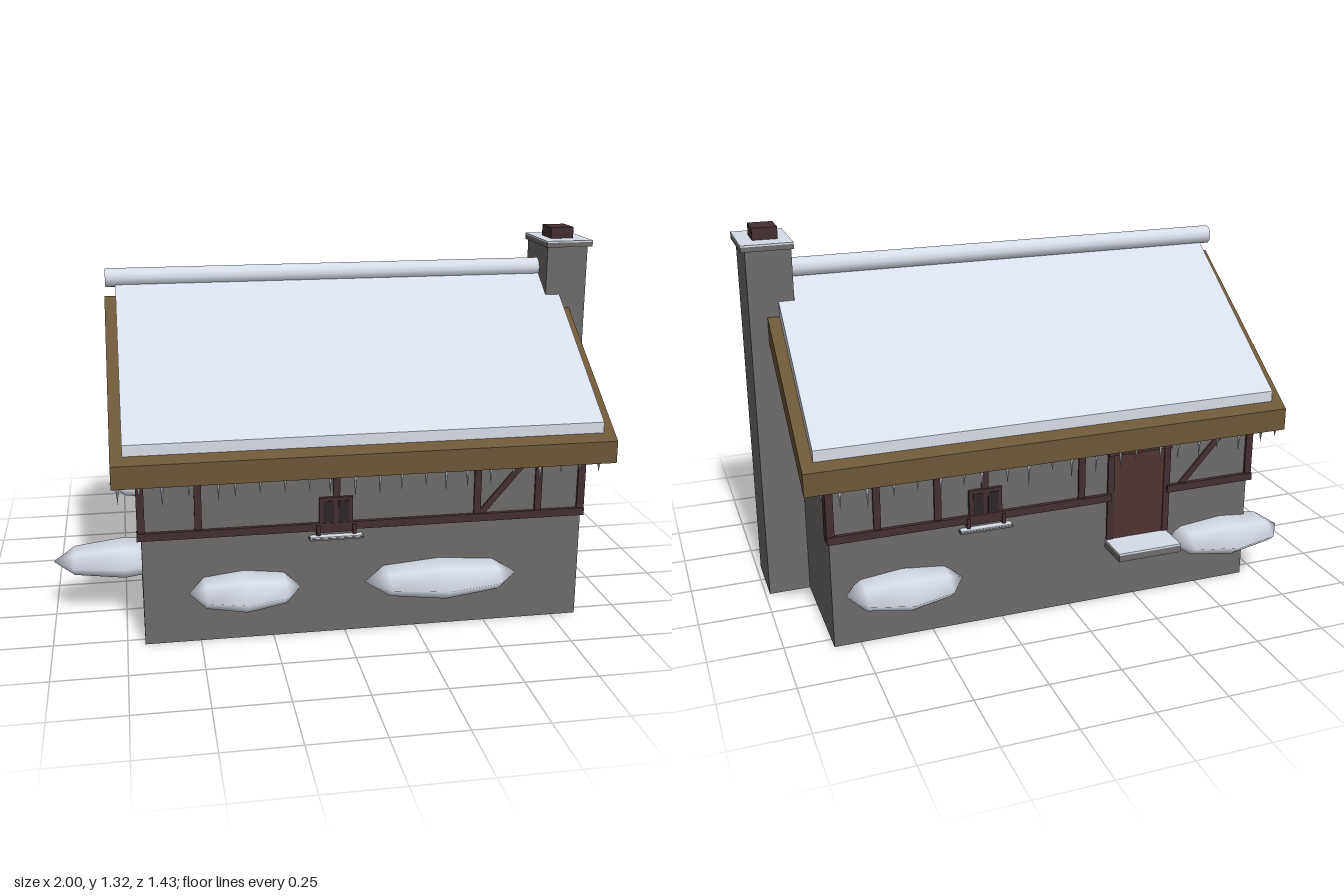
import * as THREE from 'three';

const mat = (name, color, side = THREE.FrontSide) => {
  const m = new THREE.MeshStandardMaterial({ color, side });
  m.name = name;
  return m;
};

export function createModel() {
  const group = new THREE.Group();
  const stone = mat('stone', 0x6d6b6a);
  const snow = mat('snow', 0xd6dce7);
  const roofWood = mat('roofWood', 0x6b5737);
  const timber = mat('timber', 0x432f30);
  const doorWood = mat('doorWood', 0x4f3331);
  const glass = mat('glass', 0x2d2628);
  const floorWood = mat('floorWood', 0x2b2120);
  const ice = mat('ice', 0xb4bcc6);
  const Z0 = -0.006; // centre line of the house

  const add = (name, geo, material, x = 0, y = 0, z = 0, parent = group) => {
    const m = new THREE.Mesh(geo, material);
    m.name = name;
    m.position.set(x, y, z);
    parent.add(m);
    return m;
  };
  // Box from its limits on each axis
  const box = (name, material, x0, x1, y0, y1, z0, z1, parent) =>
    add(name, new THREE.BoxGeometry(x1 - x0, y1 - y0, z1 - z0), material,
      (x0 + x1) / 2, (y0 + y1) / 2, (z0 + z1) / 2, parent);
  // Profile in (z, y) swept along x from x0 to x1
  const sweep = (name, material, pts, x0, x1) => {
    const shape = new THREE.Shape(pts.map(([z, y]) => new THREE.Vector2(-z, y)));
    const geo = new THREE.ExtrudeGeometry(shape, { depth: x1 - x0, bevelEnabled: false });
    geo.rotateY(Math.PI / 2);
    return add(name, geo, material, x0, 0, Z0);
  };

  // Hollow footing, floor and gabled walls
  const X0 = -0.69, X1 = 0.84, W = 0.545, T = 0.1;
  box('footingFront', stone, X0, X1, 0, 0.2, Z0 + W - T, Z0 + W);
  box('footingBack', stone, X0, X1, 0, 0.2, Z0 - W, Z0 - W + T);
  box('footingLeft', stone, X1 - T, X1, 0, 0.2, Z0 - W + T, Z0 + W - T);
  box('footingRight', stone, X0, X0 + T, 0, 0.2, Z0 - W + T, Z0 + W - T);
  box('floor', floorWood, X0 + T, X1 - T, 0.16, 0.2, Z0 - W + T, Z0 + W - T);
  sweep('walls', stone, [[-W, 0.2], [-W, 0.66], [0, 1.02], [W, 0.66], [W, 0.2]], X0, X1);

  // Roof, snow blanket and ridge roll
  sweep('roof', roofWood,
    [[-0.632, 0.592], [-0.632, 0.67], [0, 1.105], [0.632, 0.67], [0.632, 0.592], [0, 1.008]], -0.78, 0.925);
  sweep('roofSnow', snow,
    [[-0.6, 0.69], [-0.6, 0.73], [0, 1.16], [0.6, 0.73], [0.6, 0.69], [0, 1.1]], -0.74, 0.885);
  const roll = new THREE.CylinderGeometry(0.034, 0.034, 1.61, 12);
  roll.rotateZ(Math.PI / 2);
  add('ridgeSnow', roll, snow, 0.03, 1.17, -0.012);

  // Chimney
  box('chimney', stone, 0.832, 0.985, 0, 1.26, -0.117, 0.103);
  box('chimneyCap', stone, 0.825, 1, 1.258, 1.275, -0.13, 0.113);
  box('chimneyCapSnow', snow, 0.825, 1, 1.275, 1.281, -0.13, 0.113);
  box('flue', timber, 0.865, 0.95, 1.28, 1.322, -0.058, 0.042);

  // One timbered long side; side is +1 for the front and -1 for the back
  const half = 0.012;
  const timberSide = (name, side, posts, beams, braceFrom, braceTo) => {
    const g = new THREE.Group();
    g.name = name;
    group.add(g);
    const outer = (n, m, x0, x1, y0, y1, near, far) => {
      const a = Z0 + side * (W + near), b = Z0 + side * (W + far);
      return box(n, m, x0, x1, y0, y1, Math.min(a, b), Math.max(a, b), g);
    };
    for (const [x, y] of posts) outer('post', timber, x - half, x + half, y, 0.66, -0.02, 0.008);
    for (const x of [-0.69, 0.835]) outer('cornerPost', timber, x - 0.013, x + 0.013, 0.38, 0.66, -0.038, 0.01);
    for (const [a, b] of beams) outer('beam', timber, a, b, 0.38, 0.407, -0.02, 0.014);
    const d = new THREE.Vector2(braceTo - braceFrom, 0.2);
    const brace = outer('brace', timber, -d.length() / 2, d.length() / 2, -0.011, 0.011, -0.02, 0.006);
    brace.position.x = (braceFrom + braceTo) / 2;
    brace.position.y = 0.5;
    brace.rotation.z = Math.atan2(d.y, d.x);
    return outer;
  };
  const windowAt = (outer, x) => {
    outer('windowFrame', timber, x - 0.058, x + 0.058, 0.372, 0.497, -0.01, 0.012);
    for (const s of [-1, 1]) {
      outer('windowPane', glass, x + s * 0.026 - 0.018, x + s * 0.026 + 0.018, 0.41, 0.485, 0.01, 0.014);
      outer('windowJamb', timber, x + s * 0.062 - 0.006, x + s * 0.062 + 0.006, 0.365, 0.4, 0, 0.02);
    }
    outer('windowSill', stone, x - 0.093, x + 0.093, 0.35, 0.357, -0.01, 0.028);
    outer('sillSnow', snow, x - 0.09, x + 0.09, 0.357, 0.361, -0.01, 0.026);
  };

  const front = timberSide('frontTimber', 1,
    [[-0.5, 0.38], [-0.032, 0.49], [0.462, 0.38], [0.68, 0.38]], [[-0.705, 0.848]], 0.47, 0.64);
  windowAt(front, -0.034);

  const back = timberSide('backTimber', -1,
    [[0.68, 0.38], [0.475, 0.38], [0.31, 0.49], [-0.04, 0.38], [-0.15, 0.23], [-0.365, 0.23]],
    [[-0.705, -0.365], [-0.15, 0.848]], -0.42, -0.6);
  windowAt(back, 0.31);

  // Back door with its lintel and snowy step
  back('door', doorWood, -0.353, -0.162, 0.23, 0.555, -0.01, 0.004);
  back('lintel', timber, -0.378, -0.137, 0.55, 0.575, -0.01, 0.014);
  back('step', stone, -0.37, -0.135, 0.2, 0.224, -0.01, 0.123);
  back('stepSnow', snow, -0.37, -0.135, 0.224, 0.231, -0.01, 0.123);

  // Snow drifts against the walls: x, z, half length, half depth, turn
  const drift = new THREE.SphereGeometry(1, 6, 4);
  drift.rotateZ(Math.PI / 2);
  drift.rotateX(Math.PI / 2);
  if (Math.abs(drift.attributes.position.getZ(14)) < 0.1) drift.rotateX(Math.PI / 2);
  const drifts = [
    [-0.35, 0.58, 0.19, 0.128, 0],
    [0.33, 0.58, 0.27, 0.13, 0],
    [-0.59, -0.58, 0.22, 0.133, 0],
    [0.6, -0.58, 0.2, 0.137, 0],
    [-0.75, 0.23, 0.25, 0.12, 0],
  ];
  for (const [x, z, length, depth] of drifts) {
    add('snowDrift', drift, snow, x, 0.195, z).scale.set(length, 0.062, depth);
  }

  // Icicles under both eaves
  let seed = 7;
  const rand = () => (seed = (seed * 16807) % 2147483647) / 2147483647;
  for (const side of [-1, 1]) {
    for (let i = 0; i < 22; i++) {
      const h = 0.03 + 0.055 * rand();
      const cone = new THREE.ConeGeometry(0.0065, h, 5);
      cone.rotateX(Math.PI);
      add('icicle', cone, ice, -0.76 + i * 0.078 + 0.03 * (rand() - 0.5), 0.598 - h / 2, Z0 + side * 0.622);
    }
  }
  return group;
}
